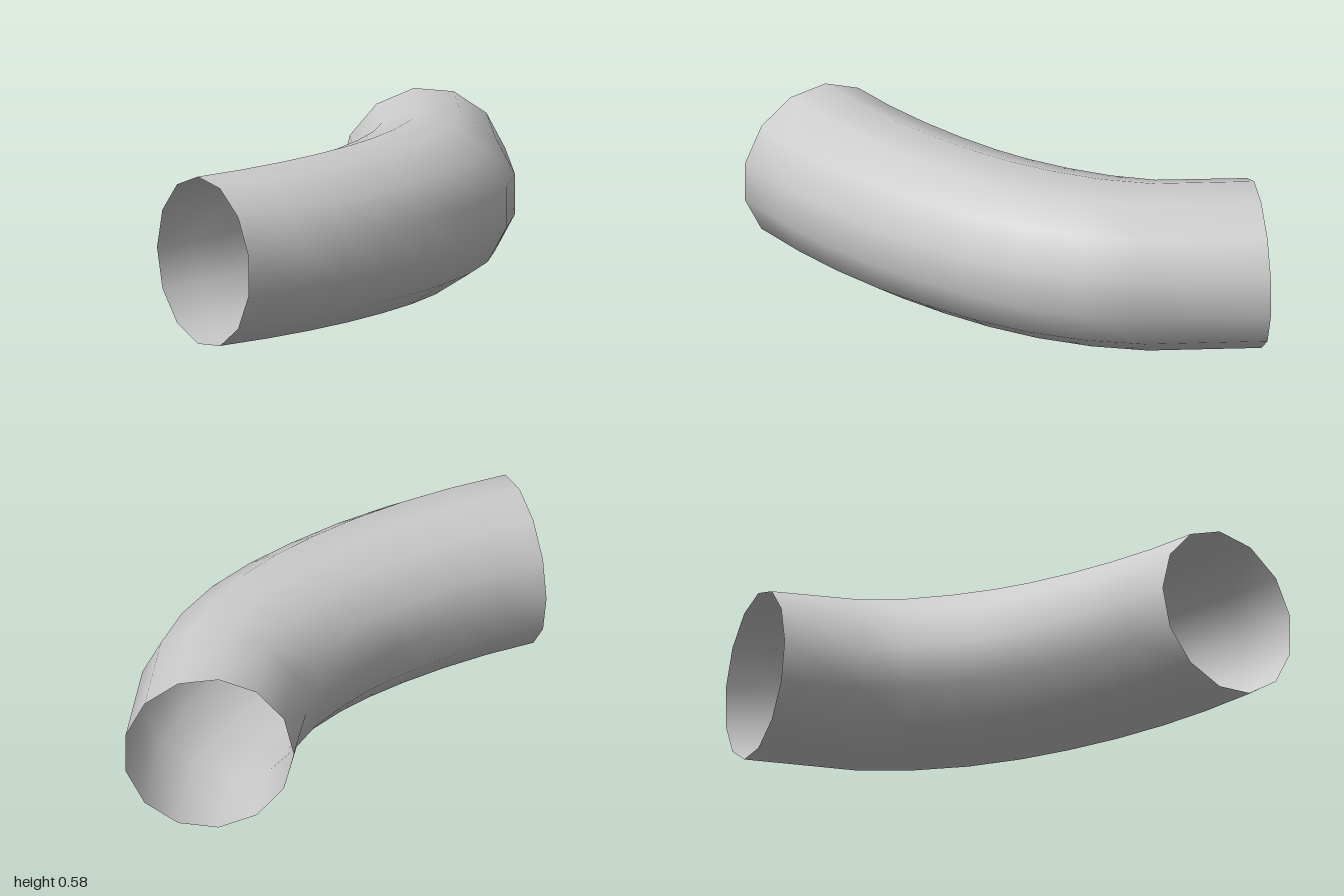
import * as THREE from 'three';

const SIDES = 13;
const RADIUS = 0.293;
const CENTRE_Y = 0.291;

// Stations along the bend, back to front: inner x, z and outer x, z
const STATIONS = [
  [-0.42, -0.61, 0.0, -1.0],
  [-0.263, -0.382, 0.256, -0.645],
  [-0.22, -0.25, 0.346, -0.444],
  [-0.197, -0.11, 0.4, -0.23],
  [-0.186, 0.02, 0.416, -0.02],
  [-0.187, 0.13, 0.407, 0.19],
  [-0.203, 0.27, 0.382, 0.4],
  [-0.232, 0.43, 0.338, 0.6],
  [-0.272, 0.59, 0.279, 0.788],
  [-0.325, 0.745, 0.195, 1.0],
];

// Open, curved tube with a thirteen-sided section
function bentTube() {
  const positions = [];
  const index = [];
  const span = 1 + Math.cos(Math.PI / SIDES);

  for (const [ix, iz, ox, oz] of STATIONS) {
    for (let j = 0; j < SIDES; j++) {
      const a = (j / SIDES) * Math.PI * 2;
      const t = (1 - Math.cos(a)) / span; // 0 at inner corner, 1 at outer flat
      positions.push(ix + (ox - ix) * t, CENTRE_Y + RADIUS * Math.sin(a), iz + (oz - iz) * t);
    }
  }

  for (let i = 0; i < STATIONS.length - 1; i++) {
    for (let j = 0; j < SIDES; j++) {
      const k = (j + 1) % SIDES;
      const a = i * SIDES + j;
      const b = i * SIDES + k;
      const c = a + SIDES;
      const d = b + SIDES;
      index.push(a, c, b, b, c, d);
    }
  }

  const geometry = new THREE.BufferGeometry();
  geometry.setAttribute('position', new THREE.Float32BufferAttribute(positions, 3));
  geometry.setIndex(index);
  geometry.computeVertexNormals();
  return geometry;
}

export function createModel() {
  const group = new THREE.Group();
  group.name = 'pipeBend';
  const material = new THREE.MeshStandardMaterial({ color: 0xcccccc, side: THREE.DoubleSide });
  const pipe = new THREE.Mesh(bentTube(), material);
  pipe.name = 'pipe';
  group.add(pipe);
  return group;
}
